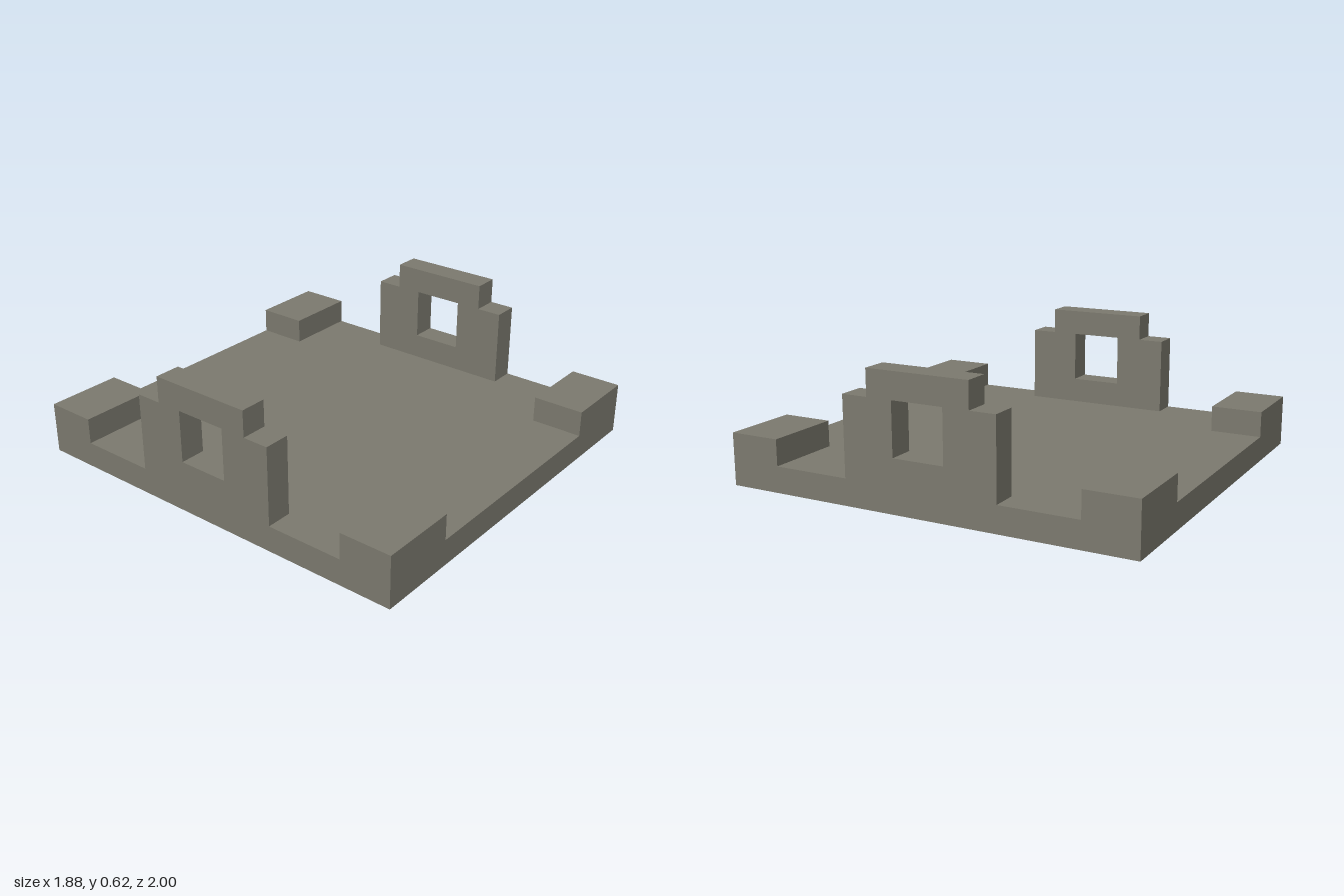
import * as THREE from 'three';

const HALF_W = 0.9375, PLATE_H = 0.125, WALL_T = 0.125;

// Box placed by its centre in x and z and its underside in y
function block(name, w, h, d, x, y, z, material) {
  const mesh = new THREE.Mesh(new THREE.BoxGeometry(w, h, d), material);
  mesh.position.set(x, y + h / 2, z);
  mesh.name = name;
  return mesh;
}

// Stepped upright with a square window, extruded along x
function uprightGeometry() {
  const half = [[0.375, PLATE_H], [0.375, 0.5], [0.25, 0.5], [0.25, 0.625]];
  const mirrored = half.map(([z, y]) => [-z, y]).reverse();
  const shape = new THREE.Shape([...half, ...mirrored].map(([z, y]) => new THREE.Vector2(z, y)));
  const hole = [[-0.125, 0.25], [0.125, 0.25], [0.125, 0.5], [-0.125, 0.5]];
  shape.holes.push(new THREE.Path(hole.map(([z, y]) => new THREE.Vector2(z, y))));
  return new THREE.ExtrudeGeometry(shape, { depth: WALL_T, bevelEnabled: false })
    .translate(0, 0, -WALL_T / 2)
    .rotateY(Math.PI / 2);
}

export function createModel() {
  const group = new THREE.Group();
  group.name = 'basePlate';
  const stone = new THREE.MeshStandardMaterial({ color: 0x7d7b70 });
  stone.name = 'warm grey';

  // Floor plate
  group.add(block('floorPlate', HALF_W * 2, PLATE_H, 2, 0, 0, 0, stone));

  const upright = uprightGeometry();
  for (const [side, sx] of [['left', 1], ['right', -1]]) {
    // Side upright with window
    const wall = new THREE.Mesh(upright, stone);
    wall.name = side + 'Upright';
    wall.position.x = sx * (HALF_W - WALL_T / 2);
    group.add(wall);

    // Corner blocks
    for (const [end, sz] of [['Front', 1], ['Back', -1]]) {
      group.add(block(side + end + 'CornerBlock', 0.375, 0.125, 0.25, sx * 0.75, PLATE_H, sz * 0.875, stone));
    }
  }
  return group;
}
